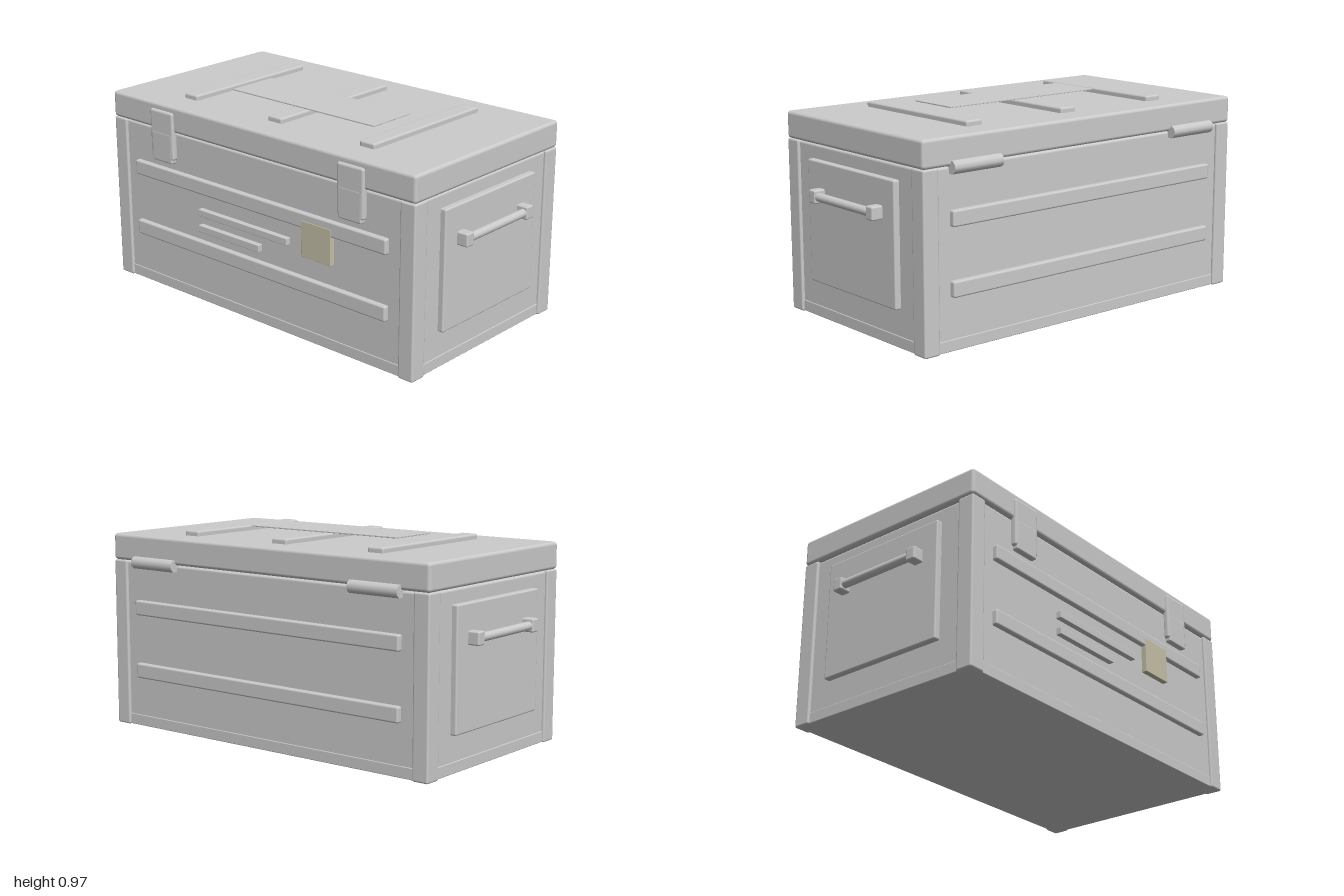
import * as THREE from 'three';
import { RoundedBoxGeometry } from 'three/addons/geometries/RoundedBoxGeometry.js';

const grey = new THREE.MeshStandardMaterial({ color: 0xcccccc });
const khaki = new THREE.MeshStandardMaterial({ color: 0xc8c2aa });
const MID = 0.01; // depth centre of the chest

export function createModel() {
  const chest = new THREE.Group();
  chest.name = 'storageChest';

  const add = (name, geometry, x, y, z, material = grey) => {
    const mesh = new THREE.Mesh(geometry, material);
    mesh.name = name;
    mesh.position.set(x, y, z);
    chest.add(mesh);
    return mesh;
  };
  // Softly bevelled block given by its extents on each axis
  const block = (name, [x0, x1], [y0, y1], [z0, z1], r = 0.01, material = grey) =>
    add(name, new RoundedBoxGeometry(x1 - x0, y1 - y0, z1 - z0, 2, r),
      (x0 + x1) / 2, (y0 + y1) / 2, (z0 + z1) / 2, material);

  // Main shell, base skirt and lid
  block('body', [-0.918, 0.918], [0.003, 0.805], [-0.488, 0.508], 0.012);
  block('baseSkirt', [-0.921, 0.921], [0.002, 0.055], [-0.491, 0.511], 0.004);
  block('lid', [-0.932, 0.932], [0.808, 0.935], [-0.502, 0.522], 0.016);

  // Corner posts
  for (const s of [-1, 1]) {
    for (const t of [-1, 1]) {
      const x = s * 0.89, z = MID + t * 0.469;
      block('cornerPost', [x - 0.041, x + 0.041], [0, 0.808], [z - 0.042, z + 0.042], 0.009);
    }
  }

  // Horizontal ribs on front and back
  for (const y of [0.278, 0.585]) {
    block('frontRib', [-0.783, 0.783], [y - 0.036, y + 0.036], [0.49, 0.532], 0.009);
    block('backRib', [-0.783, 0.783], [y - 0.036, y + 0.036], [-0.514, -0.47], 0.009);
  }

  // Raised strips and coloured tag on the front
  block('longStrip', [-0.35, 0.215], [0.441, 0.475], [0.495, 0.534], 0.003);
  block('shortStrip', [-0.35, 0.04], [0.361, 0.396], [0.495, 0.534], 0.003);
  block('frontTag', [0.305, 0.477], [0.416, 0.586], [0.5, 0.534], 0.002, khaki);

  for (const s of [-1, 1]) {
    // Front latch: wide plate with a narrower tongue
    const lx = s * 0.585;
    block('latchPlate', [lx - 0.076, lx + 0.076], [0.672, 0.905], [0.5, 0.534], 0.012);
    block('latchTongue', [lx - 0.066, lx + 0.066], [0.654, 0.8], [0.5, 0.535], 0.008);

    // Rear hinge barrel
    const hinge = add('hingeBarrel', new THREE.CylinderGeometry(0.03, 0.03, 0.265, 10),
      s * 0.654, 0.804, -0.502);
    hinge.rotation.z = Math.PI / 2;

    // Side panel
    const px = s * 0.928;
    block('sidePanel', [px - 0.018, px + 0.018], [0.175, 0.74], [-0.316, 0.335], 0.008);

    // Carrying handle: two knobs and a bar
    const kx = s * 0.967;
    for (const t of [-1, 1]) {
      const z = MID + t * 0.218;
      block('handleMount', [kx - 0.033, kx + 0.033], [0.558, 0.62], [z - 0.025, z + 0.025], 0.008);
    }
    const bar = add('handleBar', new THREE.CylinderGeometry(0.02, 0.02, 0.43, 16), s * 0.977, 0.588, MID);
    bar.rotation.x = Math.PI / 2;
  }

  // Slats across the lid, with a thin plate resting over the middle one
  for (const x of [-0.545, 0, 0.545]) {
    block('lidSlat', [x - 0.043, x + 0.043], [0.925, 0.96], [-0.362, 0.376], 0.01);
  }
  block('lidPlate', [-0.437, 0.437], [0.963, 0.969], [-0.058, 0.203], 0.001);

  return chest;
}
